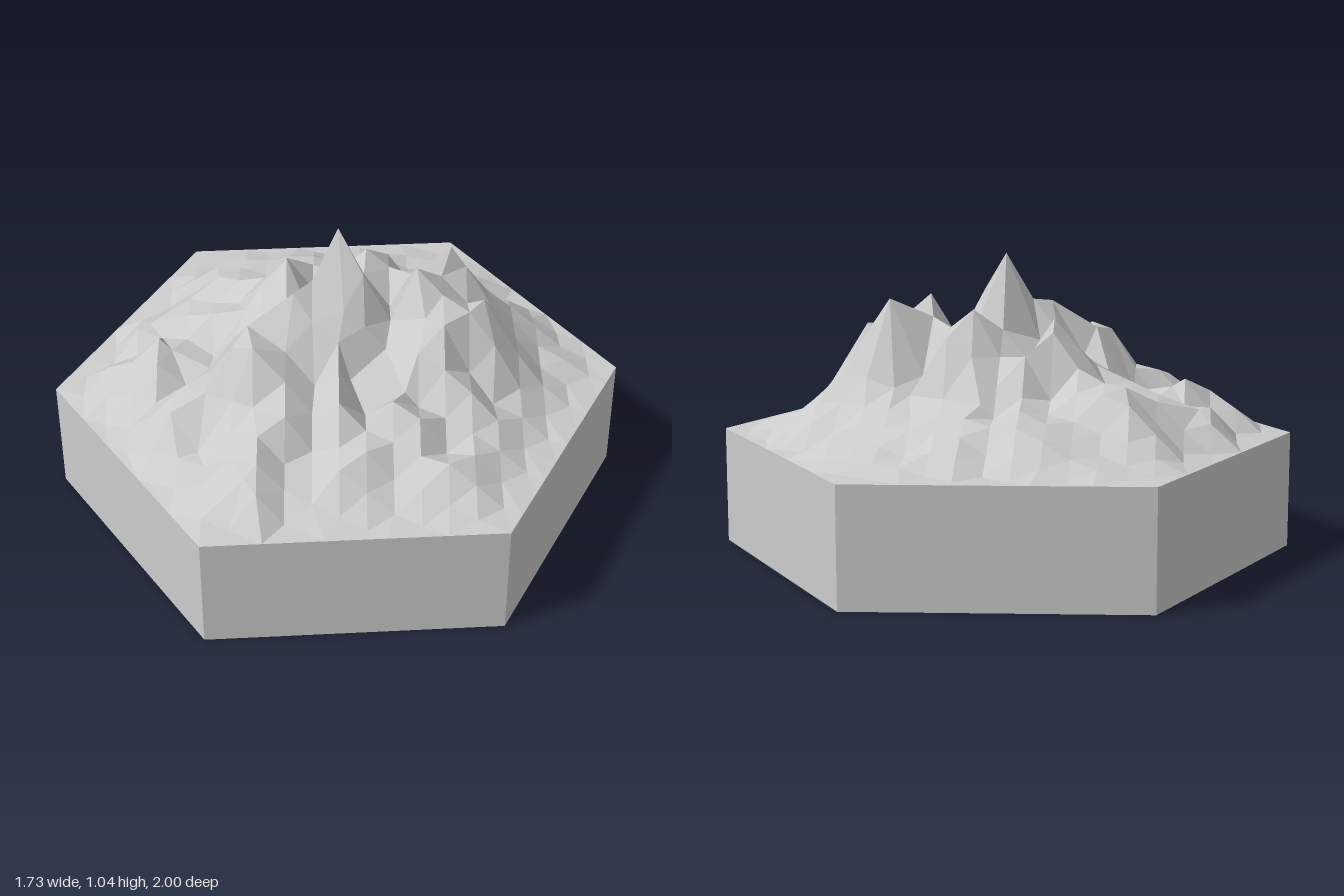
import * as THREE from 'three';

const RIM = 0.41, STEP = 0.1, SIDE = Math.sqrt(3) / 2;

// Summits, shoulders and hollows of the mountain: x, z, height
const LANDMARKS = [
  [0, 0, 1.04], [0.11, 0.03, 0.9], [-0.08, 0.18, 0.86], [-0.22, -0.04, 0.83],
  [-0.2, 0.29, 0.76], [-0.12, 0.4, 0.76], [0.3, -0.28, 0.89], [0.47, -0.18, 0.78],
  [0.33, 0, 0.77], [0.02, -0.18, 0.86], [0.2, -0.16, 0.82], [0.08, 0.12, 0.8],
  [0.16, 0.23, 0.61], [0.06, 0.3, 0.6], [-0.12, 0.03, 0.74], [0.22, 0.08, 0.66],
  [0.35, 0.2, 0.6], [0.3, 0.4, 0.56], [-0.07, 0.5, 0.6], [-0.33, 0.6, 0.56],
  [-0.53, -0.1, 0.63], [-0.5, 0.3, 0.57], [-0.4, 0.38, 0.5], [-0.68, 0.15, 0.53],
  [-0.32, 0.08, 0.66], [-0.38, 0.22, 0.53], [0.04, 0.77, 0.53], [0.3, -0.42, 0.63],
  [0.15, -0.38, 0.58], [-0.15, -0.4, 0.58], [-0.35, -0.3, 0.55], [0.05, -0.52, 0.53],
  [-0.1, -0.68, 0.47], [0.3, -0.62, 0.47], [0.15, 0.55, 0.47], [-0.2, 0.65, 0.47],
  [0.6, 0.02, 0.51], [0.55, 0.3, 0.48], [0.65, -0.3, 0.47], [-0.6, -0.4, 0.46],
];

// Skyline limits along x and along z
const SKY_X = [[-0.87, 0.41], [-0.7, 0.53], [-0.53, 0.63], [-0.4, 0.64], [-0.32, 0.7], [-0.22, 0.83],
  [-0.08, 0.87], [0, 1.04], [0.05, 0.9], [0.3, 0.89], [0.37, 0.78], [0.48, 0.78], [0.62, 0.54], [0.76, 0.42], [0.87, 0.41]];
const SKY_Z = [[-1, 0.41], [-0.87, 0.415], [-0.7, 0.47], [-0.5, 0.55], [-0.4, 0.66], [-0.28, 0.89], [-0.15, 0.88],
  [0, 1.04], [0.1, 0.9], [0.25, 0.86], [0.3, 0.78], [0.41, 0.76], [0.5, 0.6], [0.77, 0.53], [0.95, 0.42], [1, 0.41]];

function along(line, t) {
  for (let i = 1; i < line.length; i++) {
    const [a, ya] = line[i - 1], [b, yb] = line[i];
    if (t <= b) return ya + (yb - ya) * Math.max(0, (t - a) / (b - a));
  }
  return RIM;
}

let seed = 7;
function random() {
  seed = (seed * 16807) % 2147483647;
  return seed / 2147483647;
}

const halfWidth = (z) => Math.min(SIDE, (1 - Math.abs(z)) * Math.sqrt(3));

// Distance to the nearest side of the hexagon
function edgeDistance(x, z) {
  return Math.min(SIDE - Math.abs(x), SIDE - Math.abs(x) / 2 - Math.abs(z) * SIDE);
}

// Blend the landmarks by distance, cut radial gullies, roughen, and sink to the rim
function height(x, z) {
  const edge = Math.max(edgeDistance(x, z), 0.01);
  let total = 1.3 / edge ** 3, sum = RIM * total;
  for (const [px, pz, py] of LANDMARKS) {
    const w = 1 / (Math.hypot(x - px, z - pz) + 0.01) ** 3;
    total += w;
    sum += w * py;
  }
  const y = sum / total;
  const gully = 0.4 * Math.sin(13 * Math.atan2(z, x));
  const rough = (0.035 + 0.25 * (y - RIM)) * Math.min(1, edge * 6);
  const raw = y + (random() - 0.55 + gully) * rough;
  return Math.max(RIM + 0.003, Math.min(raw, along(SKY_X, x), along(SKY_Z, z)));
}

function makeTerrain() {
  const rows = [], points = [], faces = [];
  const add = (x, y, z) => points.push(x, y, z) / 3 - 1;

  // Staggered rows of points clipped to the hexagon
  for (let j = -10; j <= 10; j++) {
    const z = j * STEP, w = halfWidth(z), row = [];
    if (w < 0.001) {
      rows.push([add(0, RIM, z)]);
      continue;
    }
    row.push(add(-w, RIM, z));
    const shift = j % 2 ? 0.5 : 0;
    for (let i = -9; i <= 9; i++) {
      const x = (i + shift) * STEP;
      if (Math.abs(x) > w - 0.04) continue;
      const mark = LANDMARKS.find(([px, pz]) =>
        Math.abs(px - x) < STEP / 2 && Math.abs(pz - z) < STEP / 2);
      row.push(mark ? add(mark[0], mark[2], mark[1]) : add(x, height(x, z), z));
    }
    row.push(add(w, RIM, z));
    rows.push(row);
  }

  // Zip each pair of rows into triangles
  for (let j = 1; j < rows.length; j++) {
    const A = rows[j - 1], B = rows[j];
    let a = 0, b = 0;
    while (a < A.length - 1 || b < B.length - 1) {
      const nextA = a < A.length - 1 ? points[A[a + 1] * 3] : Infinity;
      const nextB = b < B.length - 1 ? points[B[b + 1] * 3] : Infinity;
      if (nextA < nextB) {
        faces.push(A[a], B[b], A[a + 1]);
        a++;
      } else {
        faces.push(A[a], B[b], B[b + 1]);
        b++;
      }
    }
  }
  const geometry = new THREE.BufferGeometry();
  geometry.setAttribute('position', new THREE.Float32BufferAttribute(points, 3));
  geometry.setIndex(faces);
  geometry.computeVertexNormals();
  return geometry;
}

export function createModel() {
  seed = 7;
  const group = new THREE.Group();
  group.name = 'mountainTile';
  const material = new THREE.MeshStandardMaterial({ color: 0xcccccc, flatShading: true });
  const part = (name, geometry) => {
    const mesh = new THREE.Mesh(geometry, material);
    mesh.name = name;
    group.add(mesh);
  };

  // Six walls of the tile
  part('tileWalls', new THREE.CylinderGeometry(1, 1, RIM, 6, 1, true).translate(0, RIM / 2, 0));
  // Flat underside
  part('tileBottom', new THREE.CircleGeometry(1, 6, Math.PI / 6).rotateX(Math.PI / 2));
  // Craggy mountain on top
  part('mountain', makeTerrain());
  return group;
}
